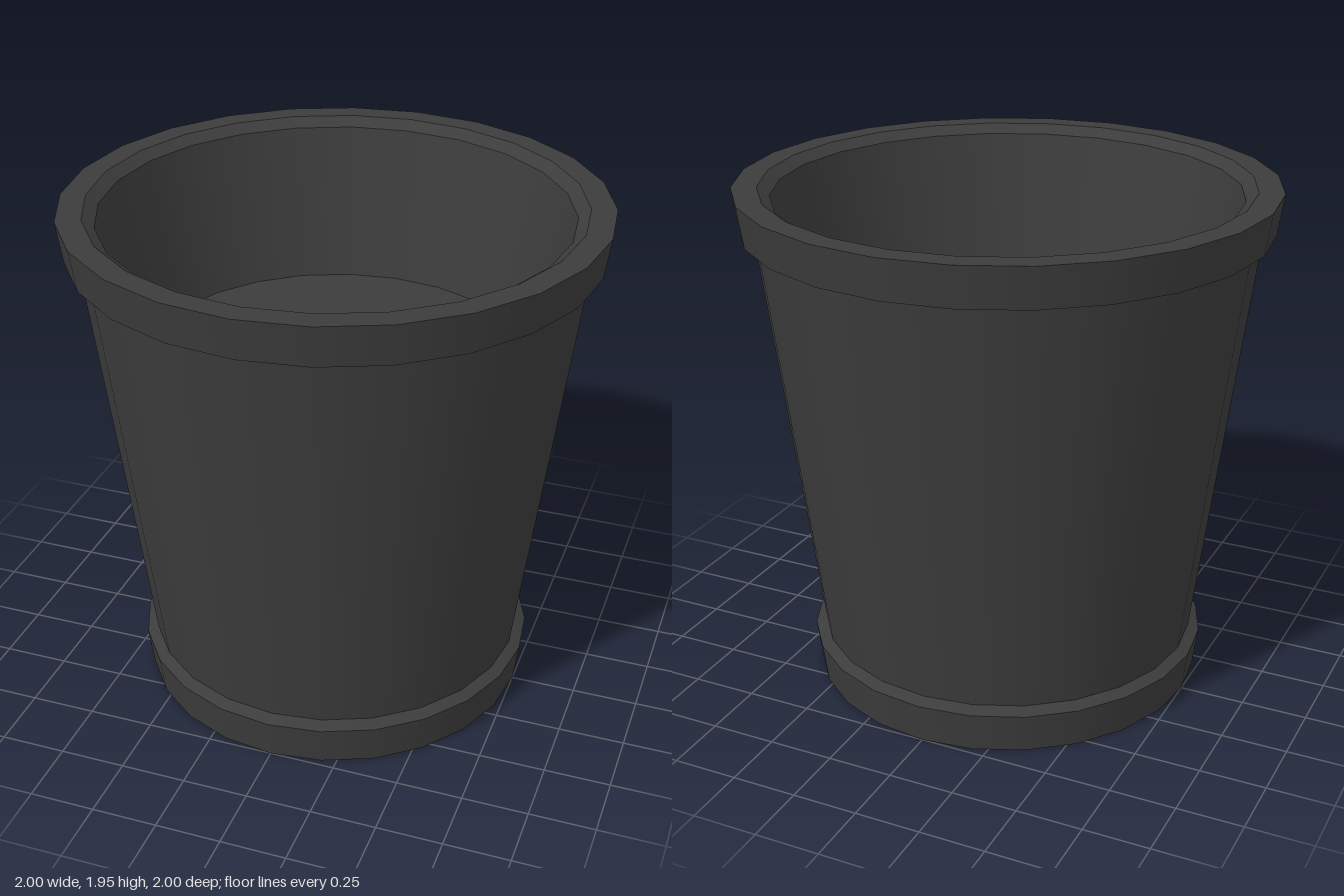
import * as THREE from 'three';
import { mergeGeometries } from 'three/addons/utils/BufferGeometryUtils.js';

const SIDES = 24;

// Each straight run of the profile is its own lathe, so bands are smooth around and sharp between.
function bands(points) {
  const parts = [];
  for (let i = 0; i < points.length - 1; i++) {
    const run = [points[i], points[i + 1]].map(([r, y]) => new THREE.Vector2(r, y));
    parts.push(new THREE.LatheGeometry(run, SIDES));
  }
  return mergeGeometries(parts);
}

function disc(radius, y, facing) {
  return new THREE.CircleGeometry(radius, SIDES).rotateX(-facing * Math.PI / 2).translate(0, y, 0);
}

export function createModel() {
  const group = new THREE.Group();
  group.name = 'flowerPot';
  const material = new THREE.MeshStandardMaterial({ color: 0x3c3c3c });
  const add = (name, geometry) => {
    const mesh = new THREE.Mesh(geometry, material);
    mesh.name = name;
    group.add(mesh);
  };

  // Outside, from the ground up
  add('underside', disc(0.75, 0, -1));
  add('baseRing', bands([[0.75, 0], [0.77, 0.155], [0.728, 0.177]]));
  add('body', bands([[0.728, 0.177], [0.93, 1.783]]));
  // Overhanging rim with a chamfered inner lip
  add('rim', bands([[0.93, 1.783], [0.978, 1.795], [1, 1.948], [0.907, 1.948], [0.863, 1.915]]));
  // Inside, down to the raised floor
  add('innerWall', bands([[0.863, 1.915], [0.735, 1.325]]));
  add('innerFloor', disc(0.735, 1.325, 1));
  return group;
}
